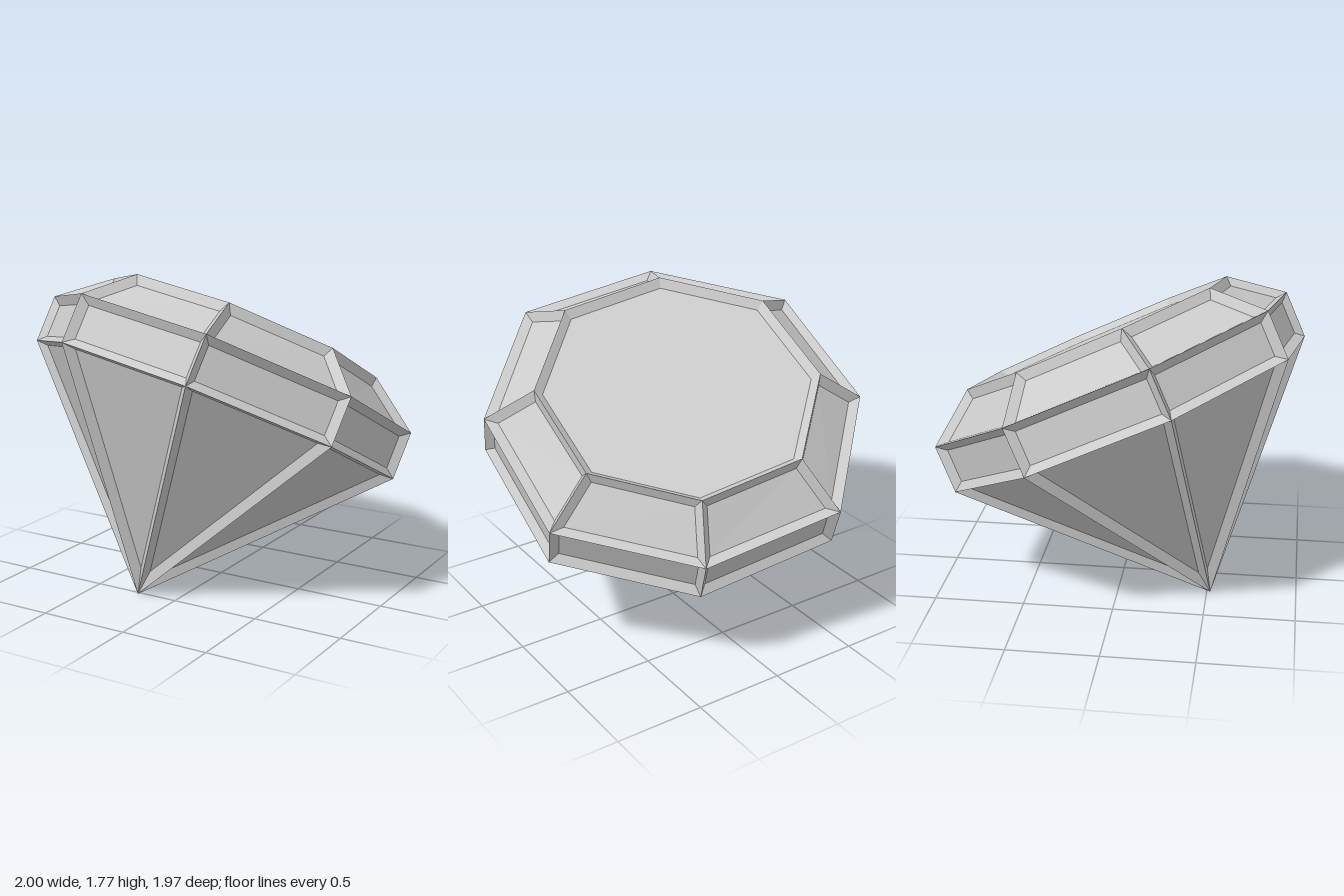
import * as THREE from 'three';

const SIDES = 8, INSET = 0.042, DEPTH = 0.04;
const material = new THREE.MeshStandardMaterial({ color: 0xcccccc, flatShading: true });

// Ring of corners around the gem's axis; alternate corners reach slightly further out
function ring(evenRadius, oddRadius, height) {
  return Array.from({ length: SIDES }, (_, k) => {
    const a = (k / SIDES) * Math.PI * 2, r = k % 2 ? oddRadius : evenRadius;
    return new THREE.Vector3(r * Math.cos(a), height, -r * Math.sin(a));
  });
}

// Facet with mitred sloping walls leading down to a sunken floor
function facet(name, corners) {
  const n = corners.length;
  const normal = new THREE.Vector3();
  corners.forEach((p, i) => normal.add(p.clone().cross(corners[(i + 1) % n])));
  normal.normalize();
  const inward = corners.map((p, i) =>
    normal.clone().cross(corners[(i + 1) % n].clone().sub(p)).normalize());
  const floor = corners.map((p, i) => {
    const a = inward[(i + n - 1) % n], b = inward[i];
    return p.clone()
      .addScaledVector(a.clone().add(b), INSET / (1 + a.dot(b)))
      .addScaledVector(normal, -DEPTH);
  });
  const points = [];
  for (let i = 0; i < n; i++) {
    const j = (i + 1) % n;
    points.push(corners[i], corners[j], floor[j], corners[i], floor[j], floor[i]);
    if (i > 0 && i < n - 1) points.push(floor[0], floor[i], floor[j]);
  }
  const geometry = new THREE.BufferGeometry().setFromPoints(points);
  geometry.computeVertexNormals();
  const mesh = new THREE.Mesh(geometry, material);
  mesh.name = name;
  return mesh;
}

export function createModel() {
  const gem = new THREE.Group();
  gem.name = 'gem';

  const apex = new THREE.Vector3(0, -1.107, 0);
  const lower = ring(1.042, 1.075, 0);
  const upper = ring(1.042, 1.075, 0.27);
  const top = ring(0.775, 0.79, 0.487);

  // Flat top
  gem.add(facet('table', top));

  // Pavilion, girdle and crown facets around the axis
  for (let k = 0; k < SIDES; k++) {
    const j = (k + 1) % SIDES;
    gem.add(facet('pavilionFacet', [apex, lower[j], lower[k]]));
    gem.add(facet('girdleFacet', [lower[k], lower[j], upper[j], upper[k]]));
    gem.add(facet('crownFacet', [upper[k], upper[j], top[j], top[k]]));
  }

  // Lean the gem on its point
  const axis = new THREE.Vector3(0.18, 0.89, -0.42).normalize();
  const side = new THREE.Vector3(0.909, 0, 0.416);
  side.addScaledVector(axis, -side.dot(axis)).normalize();
  gem.quaternion.setFromRotationMatrix(
    new THREE.Matrix4().makeBasis(side, axis, side.clone().cross(axis)));
  gem.position.set(-0.03, 0.99, 0.055);

  const model = new THREE.Group();
  model.name = 'cutGem';
  model.add(gem);
  return model;
}
